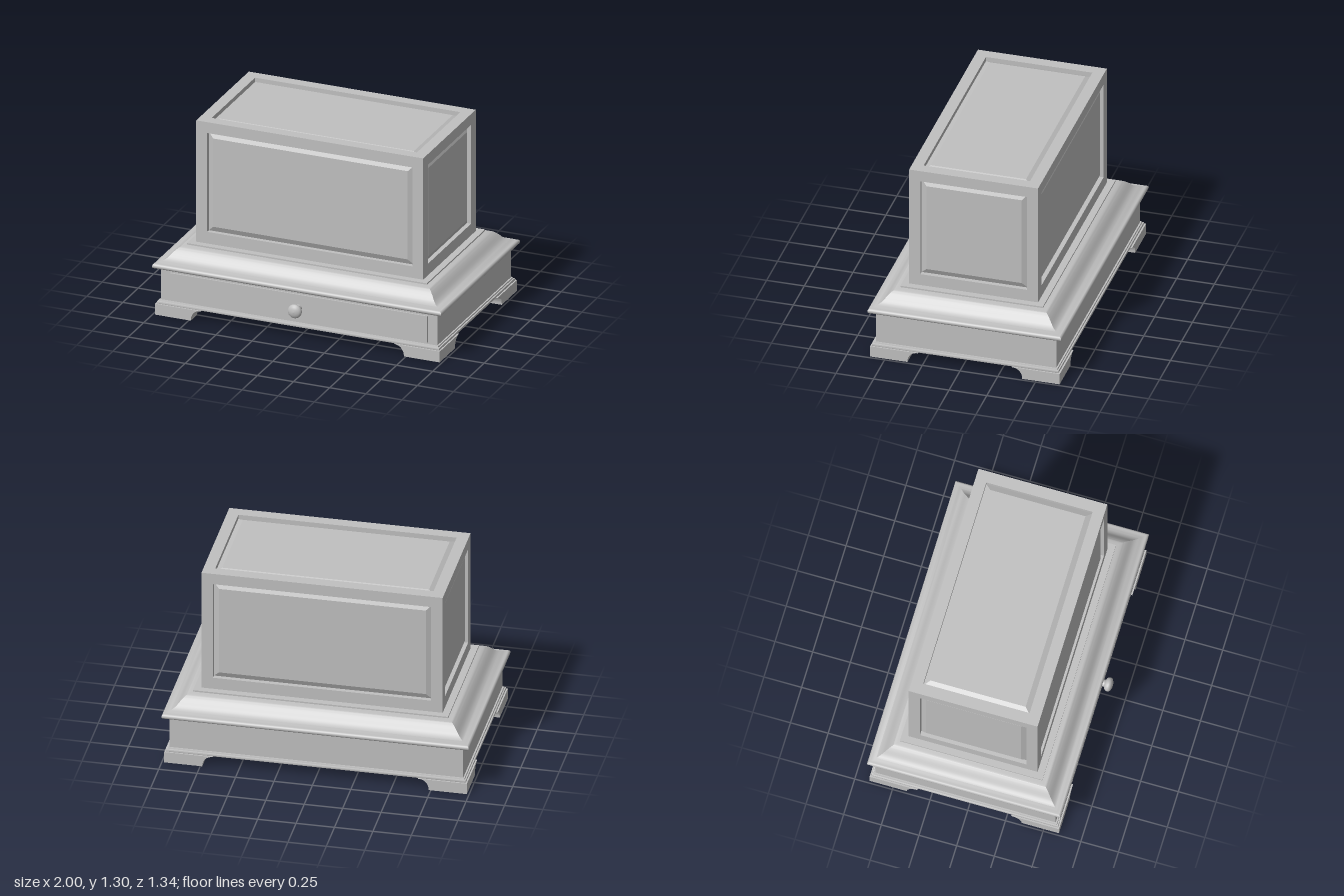
import * as THREE from 'three';
import { toCreasedNormals } from 'three/addons/utils/BufferGeometryUtils.js';

const HX = 0.955, HZ = 0.5975; // half size of the plinth walls
const BX = 0.785, BZ = 0.4275, Y0 = 0.46, Y1 = 1.3, POST = 0.075; // cabinet

export function createModel() {
  const paint = new THREE.MeshStandardMaterial({ color: 0xc0c0c0 });
  paint.name = 'grey paint';
  const model = new THREE.Group();
  model.name = 'panelledChest';
  const body = new THREE.Group();
  body.name = 'body';
  body.position.z = -0.0275;
  model.add(body);

  const add = (name, geometry, x = 0, y = 0, z = 0, parent = body) => {
    const mesh = new THREE.Mesh(geometry, paint);
    mesh.name = name;
    mesh.position.set(x, y, z);
    parent.add(mesh);
    return mesh;
  };
  const box = (name, w, h, d, x, y, z) => add(name, new THREE.BoxGeometry(w, h, d), x, y, z);

  // Closed profile of [outset, y], mitred around the plinth rectangle
  const frame = (profile) => {
    const pos = [];
    const corner = (i, [o, y]) => {
      const [sx, sz] = [[-1, 1], [1, 1], [1, -1], [-1, -1]][i % 4];
      return [sx * (HX + o), y, sz * (HZ + o)];
    };
    for (let i = 0; i < 4; i++) {
      profile.forEach((p, k) => {
        const q = profile[(k + 1) % profile.length];
        const a = corner(i, p), b = corner(i + 1, p), c = corner(i + 1, q), d = corner(i, q);
        pos.push(...a, ...b, ...c, ...a, ...c, ...d);
      });
    }
    const g = new THREE.BufferGeometry();
    g.setAttribute('position', new THREE.Float32BufferAttribute(pos, 3));
    g.computeVertexNormals();
    return toCreasedNormals(g, 0.6);
  };

  // Plinth walls and the small moulding under them
  add('plinthWalls', frame([[0, 0.095], [0, 0.325], [-0.025, 0.325], [-0.025, 0.095]]));
  add('baseMoulding', frame([[0.02, 0.075], [0.022, 0.082], [0.02, 0.09], [0.012, 0.092],
    [0.01, 0.1], [-0.025, 0.1], [-0.025, 0.075]]));

  // Large moulding: rounded nose, then a swept cove up to the cabinet
  const nose = [];
  for (let i = 0; i <= 10; i++) {
    const t = -Math.PI / 2 + Math.PI * i / 10;
    nose.push([0.0275 + 0.0175 * Math.cos(t), 0.3375 + 0.0175 * Math.sin(t)]);
  }
  const sweep = new THREE.SplineCurve([[0.016, 0.356], [-0.028, 0.378], [-0.064, 0.418],
    [-0.092, 0.441], [-0.125, 0.45]].map((p) => new THREE.Vector2(...p))).getPoints(16);
  const cove = sweep.map((p) => [p.x, p.y]);
  const underside = sweep.slice(4).reverse().map((p) => [p.x - 0.008, p.y - 0.012]);
  add('coveMoulding', frame([...nose, ...cove, ...underside, [-0.025, 0.32]]));
  box('cabinetBase', 1.66, 0.02, 0.945, 0, 0.45, 0);

  // Bracket feet, one on each corner
  const bracket = (start) => {
    const s = new THREE.Shape();
    s.moveTo(-start, 0);
    s.lineTo(-0.248, 0);
    s.bezierCurveTo(-0.248, 0.045, -0.275, 0.075, -0.318, 0.075);
    s.lineTo(-start, 0.075);
    const g = new THREE.ExtrudeGeometry(s, { depth: 0.1, bevelEnabled: false, curveSegments: 12 });
    return toCreasedNormals(g, 0.5);
  };
  [[1, 1], [1, -1], [-1, -1], [-1, 1]].forEach(([sx, sz], i) => {
    const foot = new THREE.Group();
    foot.name = 'bracketFoot';
    foot.position.set(sx * (HX + 0.03), 0, sz * (HZ + 0.031));
    foot.rotation.y = i * Math.PI / 2;
    add('footArm', bracket(0), 0, 0, -0.1, foot);
    add('footReturn', bracket(0.1).rotateY(-Math.PI / 2), 0, 0, 0, foot);
    body.add(foot);
  });

  // Drawer front and turned knob
  box('drawerFront', 1.78, 0.183, 0.02, 0, 0.204, HZ + 0.001);
  const knob = [[0.023, 0], [0.023, 0.033], [0.026, 0.036], [0.038, 0.042], [0.045, 0.052],
    [0.047, 0.062], [0.044, 0.072], [0.034, 0.08], [0.018, 0.086], [0, 0.0878]];
  const knobGeometry = new THREE.LatheGeometry(knob.map((p) => new THREE.Vector2(...p)), 32);
  add('drawerKnob', knobGeometry.rotateX(Math.PI / 2), 0, 0.205, HZ + 0.0105);

  // Cabinet posts and rails
  const midY = (Y0 + Y1) / 2, px = BX - POST / 2, pz = BZ - POST / 2;
  const openX = 2 * (BX - POST), openZ = 2 * (BZ - POST);
  for (const sx of [-1, 1]) {
    for (const sz of [-1, 1]) box('cornerPost', POST, Y1 - Y0, POST, sx * px, midY, sz * pz);
  }
  for (const y of [Y0 + 0.04, Y1 - POST / 2]) {
    const h = y < midY ? 0.08 : POST;
    for (const s of [-1, 1]) {
      box('longRail', openX, h, POST, 0, y, s * pz);
      box('sideRail', POST, h, openZ, s * px, y, 0);
    }
  }

  // Raised panels: a slab whose face is drawn in to make the bevel
  const panel = (name, w, h) => {
    const t = 0.018, g = new THREE.BoxGeometry(w, h, t), p = g.attributes.position;
    for (let i = 0; i < p.count; i++) {
      if (p.getZ(i) < 0) continue;
      p.setX(i, p.getX(i) - Math.sign(p.getX(i)) * 0.037);
      p.setY(i, p.getY(i) - Math.sign(p.getY(i)) * 0.037);
    }
    g.computeVertexNormals();
    return add(name, g);
  };
  const openY = Y1 - Y0 - POST - 0.08, panelY = Y0 + 0.08 + openY / 2, inset = 0.021;
  for (const s of [1, -1]) {
    const long = panel(s > 0 ? 'frontPanel' : 'backPanel', openX, openY);
    long.position.set(0, panelY, s * (BZ - inset));
    long.rotation.y = s > 0 ? 0 : Math.PI;
    const side = panel(s > 0 ? 'leftPanel' : 'rightPanel', openZ, openY);
    side.position.set(s * (BX - inset), panelY, 0);
    side.rotation.y = s * Math.PI / 2;
  }
  const top = panel('topPanel', openX, openZ);
  top.position.y = Y1 - inset;
  top.rotation.x = -Math.PI / 2;

  return model;
}
